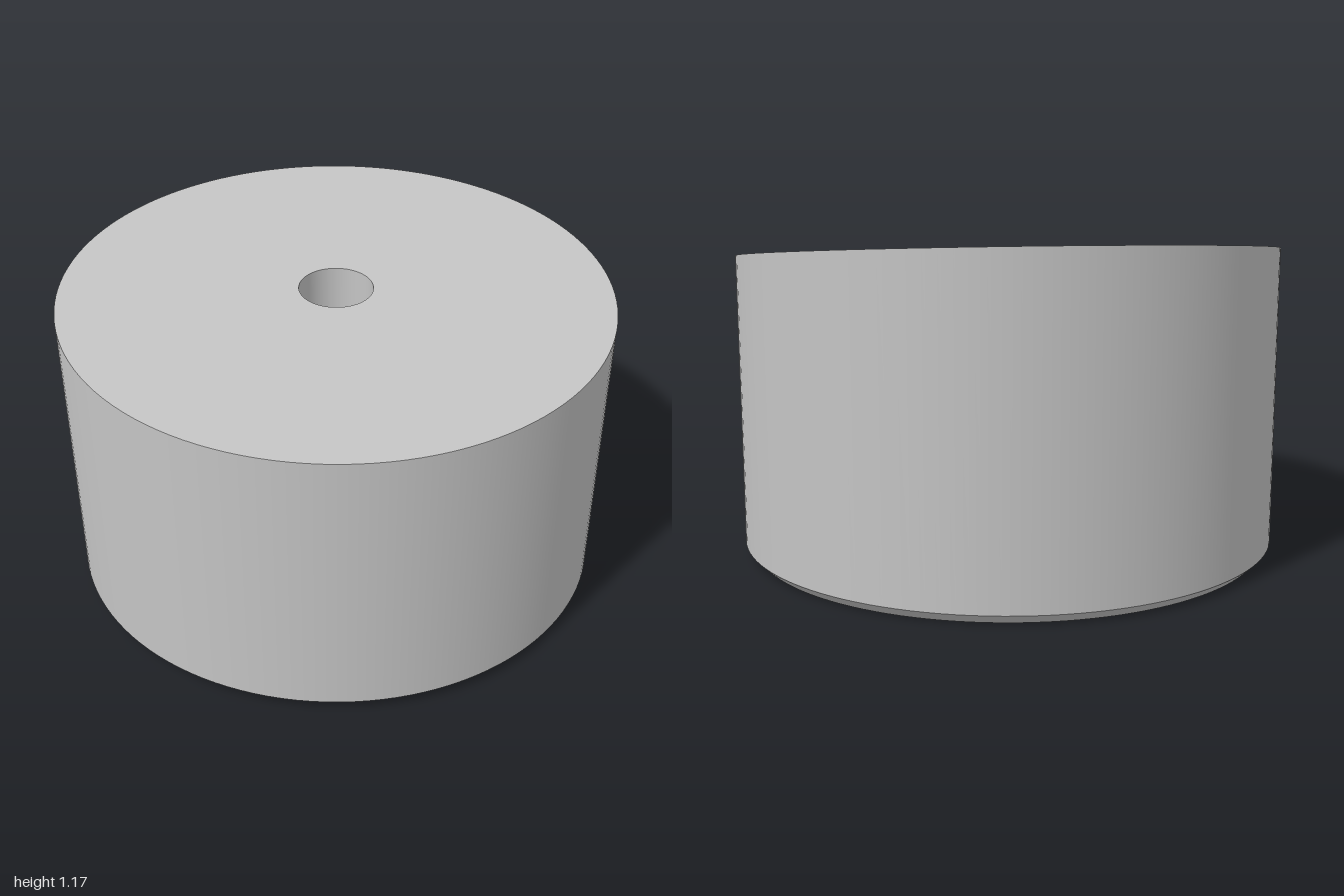
import * as THREE from 'three';

const R = 1, HOLE = 0.135, CHAMFER = 0.035, SEGMENTS = 128;
const TOP = 1.09, SLOPE_X = -0.06, SLOPE_Z = -0.055;

export function createModel() {
  const group = new THREE.Group();
  group.name = 'slantedCylinder';
  const grey = new THREE.MeshStandardMaterial({ color: 0xc4c4c4 });
  grey.name = 'light grey';

  // One ring-shaped surface between two profile points; points at TOP follow the slanted plane
  function band(name, from, to) {
    const points = [from, to].map(([r, y]) => new THREE.Vector2(r, y));
    const geometry = new THREE.LatheGeometry(points, SEGMENTS);
    const p = geometry.attributes.position;
    for (let i = 0; i < p.count; i++) {
      if (p.getY(i) > TOP - 0.001) {
        p.setY(i, TOP + SLOPE_X * p.getX(i) + SLOPE_Z * p.getZ(i));
      }
    }
    if (from[1] === to[1]) geometry.computeVertexNormals();
    const mesh = new THREE.Mesh(geometry, grey);
    mesh.name = name;
    group.add(mesh);
  }

  // Closed profile: underside, outer wall, slanted top, bore
  const profile = [
    ['underside', HOLE + CHAMFER, 0],
    ['outerChamfer', R - CHAMFER, 0],
    ['outerWall', R, CHAMFER],
    ['slantedTop', R, TOP],
    ['boreWall', HOLE, TOP],
    ['boreChamfer', HOLE, CHAMFER],
  ];
  profile.forEach(([name, r, y], i) => {
    const [, r2, y2] = profile[(i + 1) % profile.length];
    band(name, [r, y], [r2, y2]);
  });
  return group;
}
